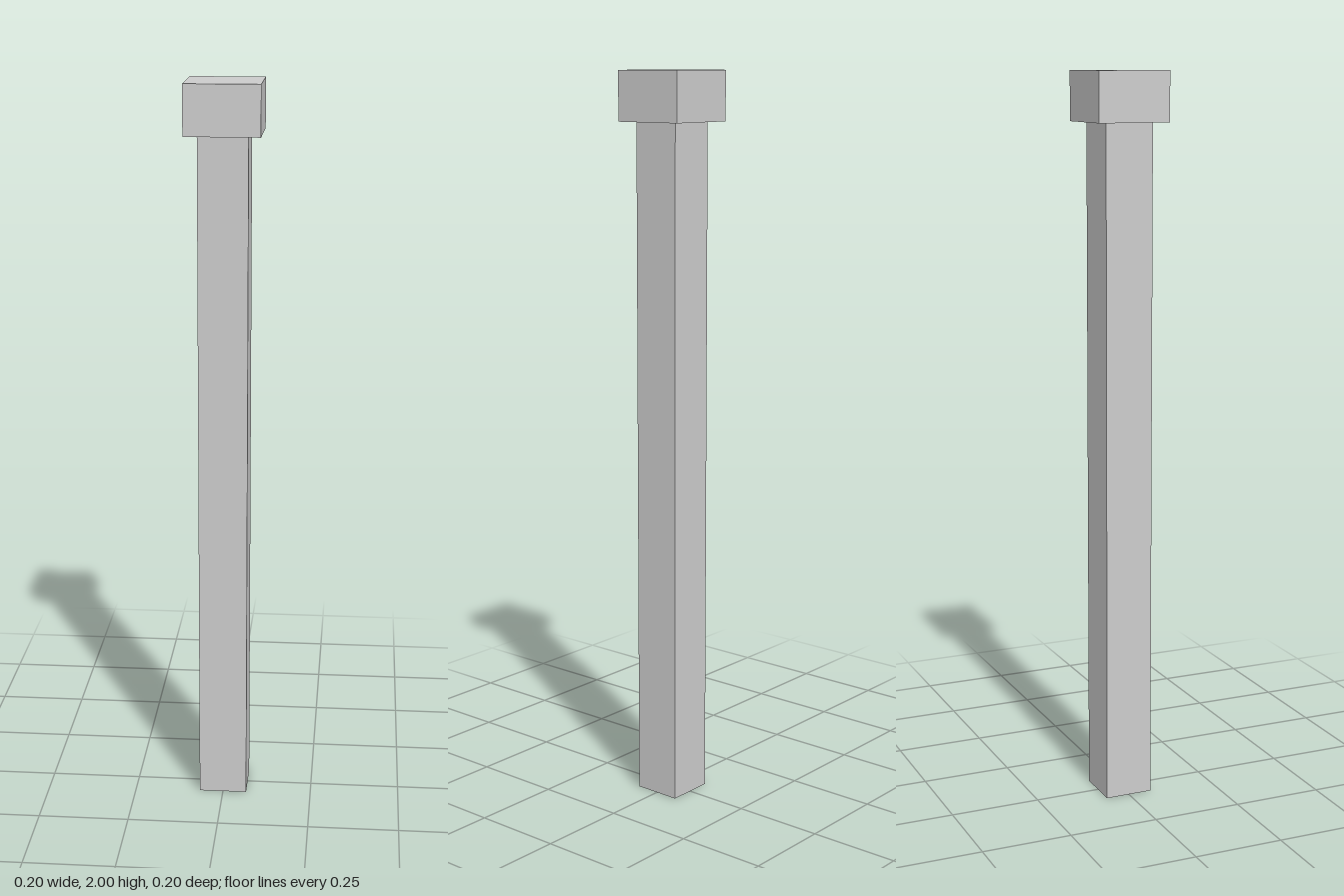
import * as THREE from 'three';

const material = new THREE.MeshStandardMaterial({ color: 0xcccccc, flatShading: true });

// Square block standing on the given height
function block(name, width, height, bottom) {
  const mesh = new THREE.Mesh(new THREE.BoxGeometry(width, height, width), material);
  mesh.name = name;
  mesh.position.y = bottom + height / 2;
  return mesh;
}

export function createModel() {
  const post = new THREE.Group();
  post.name = 'post';
  const shaftHeight = 1.867;
  // Slender square shaft with a wider cap on top
  post.add(block('shaft', 0.133, shaftHeight, 0));
  post.add(block('cap', 0.2, 2 - shaftHeight, shaftHeight));
  return post;
}
